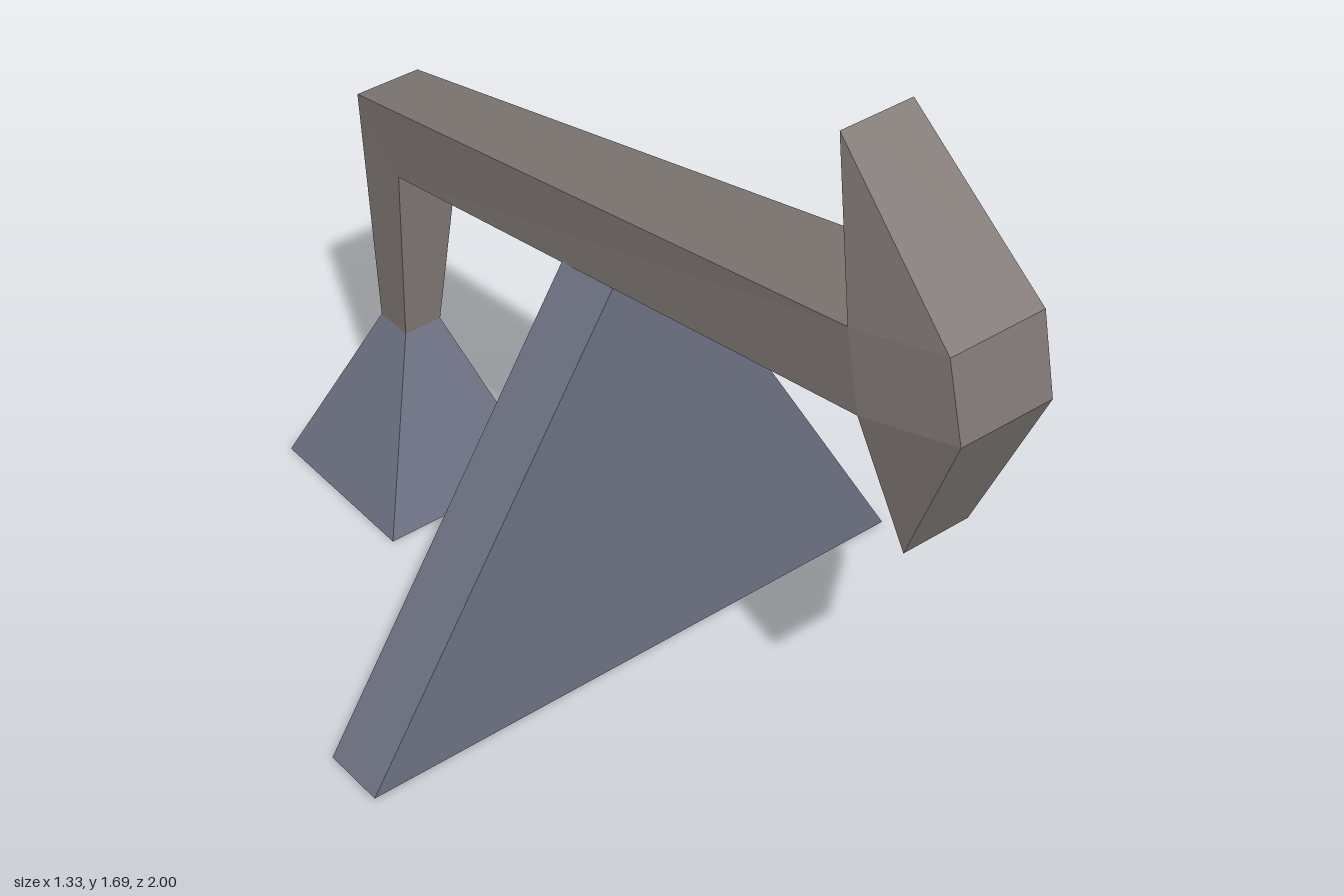
import * as THREE from 'three';

// Each profile point is [y, z, left x, right x]; points run top, front, bottom, back.
const head = {
  tip: [1.69, 0.65, -0.1, 0.06],
  faceTop: [1.43, 0.96, -0.125, 0.085],
  faceLow: [1.27, 1.0, -0.125, 0.08],
  chin: [0.92, 0.85, -0.09, 0.06],
};
const neckTop = [1.37, 0.74, -0.145, 0.11], neckLow = [1.21, 0.78, -0.15, 0.12];
const elbowIn = [0.83, -0.72, -0.055, 0.095], elbowOut = [0.96, -0.86, -0.053, 0.097];
const ankleFront = [0.4, -0.75, -0.04, 0.05], ankleBack = [0.4, -0.84, -0.04, 0.05];

// Solid spanning x between the two sides of a profile; caps lists its side triangles.
function solid(name, material, points, caps = [[0, 1, 2], [0, 2, 3]]) {
  const L = ([y, z, x]) => [x, y, z];
  const R = ([y, z, , x]) => [x, y, z];
  const verts = [];
  for (const [a, b, c] of caps.map((t) => t.map((i) => points[i]))) {
    verts.push(R(a), R(b), R(c), L(c), L(b), L(a));
  }
  points.forEach((p, i) => {
    const q = points[(i + 1) % points.length];
    verts.push(R(q), R(p), L(p), R(q), L(p), L(q));
  });
  const geometry = new THREE.BufferGeometry();
  geometry.setAttribute('position', new THREE.Float32BufferAttribute(verts.flat(), 3));
  geometry.computeVertexNormals();
  const mesh = new THREE.Mesh(geometry, material);
  mesh.name = name;
  return mesh;
}

export function createModel() {
  const group = new THREE.Group();
  group.name = 'pumpjack';
  const steel = new THREE.MeshStandardMaterial({ name: 'warmGreySteel', color: 0x7f7875 });
  const blue = new THREE.MeshStandardMaterial({ name: 'slateBlue', color: 0x6f7385 });

  group.add(
    // Swinging beam with its curved head and the rod at the rear
    solid('head', steel,
      [head.tip, head.faceTop, head.faceLow, head.chin, neckLow, neckTop],
      [[0, 1, 5], [1, 2, 4], [1, 4, 5], [2, 3, 4]]),
    solid('beam', steel, [neckTop, neckLow, elbowIn, elbowOut]),
    solid('rearRod', steel, [elbowOut, elbowIn, ankleFront, ankleBack]),
    // Flared foot under the rod
    solid('rearBase', blue,
      [ankleBack, ankleFront, [0, -0.6, -0.2, 0.2], [0, -1, -0.2, 0.2]]),
    // Triangular stand, leaning slightly forward, its peak inside the beam
    solid('stand', blue, [
      [1.152, -0.105, 0, 0], [1.156, 0.04, 0, 0],
      [0.008, 0.012, -0.667, 0.667], [0.004, -0.137, -0.667, 0.667],
    ]),
  );
  return group;
}
